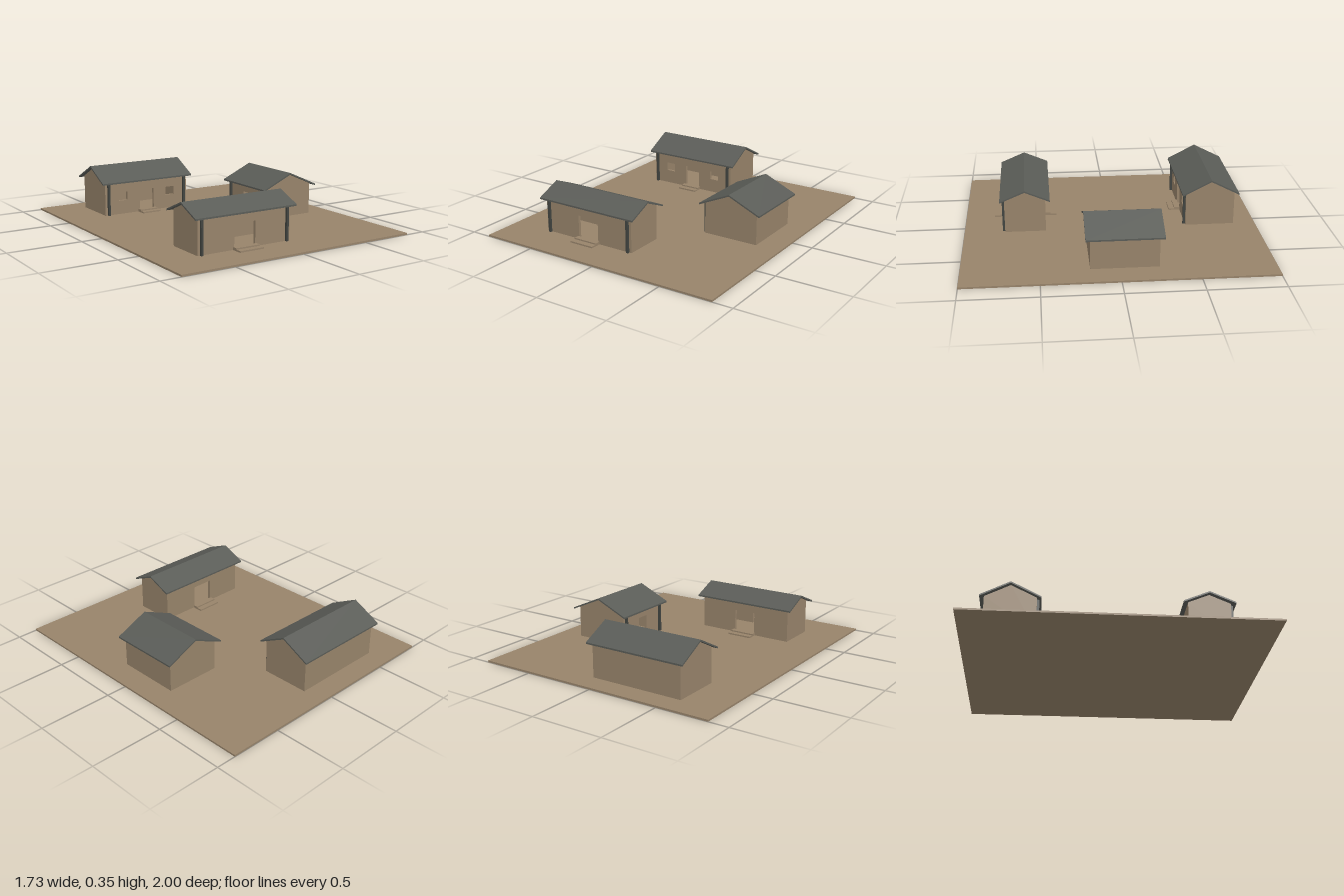
import * as THREE from 'three';

const GROUND = 0.012; // top of the ground slab
const WALL = 0.02; // wall thickness
const ROOF = 0.011; // roof thickness

const earth = new THREE.MeshStandardMaterial({ name: 'earth', color: 0x97836a });
const slate = new THREE.MeshStandardMaterial({ name: 'slate', color: 0x5a5c57 });
const darkTimber = new THREE.MeshStandardMaterial({ name: 'darkTimber', color: 0x414440 });

function add(parent, name, geometry, material, x = 0, y = 0, z = 0) {
  const mesh = new THREE.Mesh(geometry, material);
  mesh.name = name;
  mesh.position.set(x, y, z);
  parent.add(mesh);
  return mesh;
}

// Flat outline given as [x, y] pairs
function outline(points) {
  return new THREE.Shape(points.map(([x, y]) => new THREE.Vector2(x, y)));
}

const extrude = (shape, depth) => new THREE.ExtrudeGeometry(shape, { depth, bevelEnabled: false });

// Long wall with an optional door notch and square windows
function longWall(width, top, door, windows) {
  const h = width / 2;
  const points = [[-h, GROUND]];
  if (door) {
    const d = door.width / 2;
    points.push([-d, GROUND], [-d, door.top], [d, door.top], [d, GROUND]);
  }
  points.push([h, GROUND], [h, top], [-h, top]);
  const shape = outline(points);
  for (const x of windows) {
    const [l, r, b, t] = [x - 0.034, x + 0.034, 0.108, 0.168];
    shape.holes.push(outline([[l, b], [l, t], [r, t], [r, b]]));
  }
  return extrude(shape, WALL);
}

// Two low steps leading out from a wall face at local z
function steps(parent, width, z, side) {
  [[0.078, 0.022], [0.038, 0.031]].forEach(([depth, top], i) => {
    const height = top - GROUND;
    add(parent, i ? 'upperStep' : 'lowerStep', new THREE.BoxGeometry(width, height, depth),
      earth, 0, GROUND + height / 2, z + side * depth / 2);
  });
}

// House with its ridge along local x and its porch towards local +z
function house(name, o) {
  const group = new THREE.Group();
  group.name = name;
  const { width, depth, roofWidth, roofDepth, ridge, eave, door } = o;
  const slope = (ridge - eave) / (roofDepth / 2);
  const under = (z) => ridge - ROOF - slope * Math.abs(z);
  const hd = depth / 2;

  // Gable end walls
  const gable = extrude(outline([
    [-hd, GROUND], [hd, GROUND], [hd, under(hd)], [0, under(0)], [-hd, under(hd)],
  ]), WALL);
  gable.rotateY(Math.PI / 2);
  add(group, 'rightGableWall', gable, earth, -width / 2);
  add(group, 'leftGableWall', gable, earth, width / 2 - WALL);

  // Front and back walls between the gables
  const inner = width - 2 * WALL;
  add(group, 'frontWall', longWall(inner, under(hd), door, o.windows || []), earth, 0, 0, hd - WALL);
  add(group, 'backWall', longWall(inner, under(hd), o.backDoor && door, []), earth, 0, 0, -hd);

  // Pitched roof
  const rd = roofDepth / 2;
  const roof = extrude(outline([
    [-rd, eave - ROOF], [0, ridge - ROOF], [rd, eave - ROOF], [rd, eave], [0, ridge], [-rd, eave],
  ]), roofWidth);
  roof.rotateY(Math.PI / 2);
  add(group, 'roof', roof, slate, -roofWidth / 2);

  // Porch posts under the front eave
  const postZ = hd + 0.008;
  const postHeight = under(postZ) - GROUND;
  for (const side of [-1, 1]) {
    add(group, side < 0 ? 'rightPost' : 'leftPost', new THREE.BoxGeometry(0.016, postHeight, 0.016),
      darkTimber, side * (width / 2 - 0.025), GROUND + postHeight / 2, postZ);
  }

  // Door steps
  steps(group, o.stepWidth, hd, 1);
  if (o.backDoor) steps(group, o.stepWidth, -hd, -1);
  return group;
}

export function createModel() {
  const model = new THREE.Group();
  model.name = 'courtyardHouses';

  add(model, 'ground', new THREE.BoxGeometry(1.725, GROUND, 2), earth, 0, GROUND / 2, 0);

  // Gatehouse with a passage through it
  const gatehouse = house('gatehouse', {
    width: 0.686, depth: 0.277, roofWidth: 0.75, roofDepth: 0.338, ridge: 0.32, eave: 0.248,
    door: { width: 0.157, top: 0.175 }, backDoor: true, stepWidth: 0.175,
  });
  gatehouse.position.set(-0.243, 0, 0.587);

  // Main hall with windows beside the door
  const hall = house('mainHall', {
    width: 0.663, depth: 0.335, roofWidth: 0.722, roofDepth: 0.39, ridge: 0.347, eave: 0.247,
    door: { width: 0.115, top: 0.172 }, windows: [-0.19, 0.19], stepWidth: 0.14,
  });
  hall.position.set(-0.243, 0, -0.682);

  // Side house facing the courtyard
  const sideHouse = house('sideHouse', {
    width: 0.44, depth: 0.385, roofWidth: 0.5, roofDepth: 0.447, ridge: 0.325, eave: 0.226,
    door: { width: 0.09, top: 0.165 }, stepWidth: 0.115,
  });
  sideHouse.rotation.y = -Math.PI / 2;
  sideHouse.position.set(0.5, 0, -0.035);

  model.add(gatehouse, hall, sideHouse);
  return model;
}
